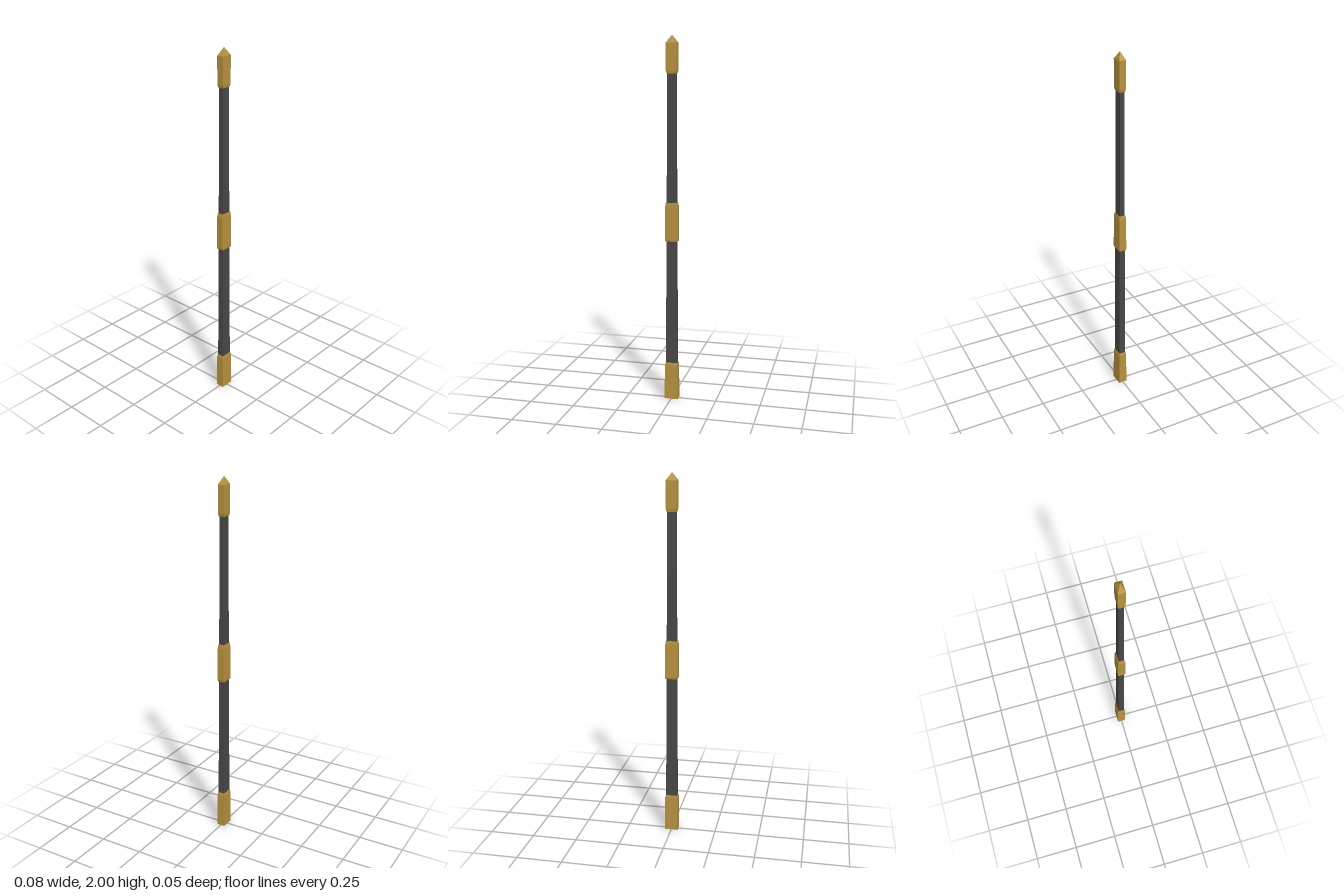
import * as THREE from 'three';

const brass = new THREE.MeshStandardMaterial({ color: 0xb8923f });
brass.name = 'brass';
const darkWood = new THREE.MeshStandardMaterial({ color: 0x4a4846 });
darkWood.name = 'dark wood';

// Rectangular loft through sections [y, half width, half depth], closed at both ends
function loft(name, material, sections) {
  const rings = sections.map(([y, w, d]) => [[-w, y, d], [w, y, d], [w, y, -d], [-w, y, -d]]);
  const pos = [];
  const quad = (a, b, c, d) => pos.push(...a, ...b, ...c, ...a, ...c, ...d);
  for (let i = 0; i < rings.length - 1; i++) {
    const lo = rings[i], hi = rings[i + 1];
    for (let k = 0; k < 4; k++) {
      const n = (k + 1) % 4;
      quad(lo[k], lo[n], hi[n], hi[k]);
    }
  }
  const b = rings[0], t = rings[rings.length - 1];
  quad(b[3], b[2], b[1], b[0]);
  quad(t[0], t[1], t[2], t[3]);
  const geometry = new THREE.BufferGeometry();
  geometry.setAttribute('position', new THREE.Float32BufferAttribute(pos, 3));
  geometry.computeVertexNormals();
  const mesh = new THREE.Mesh(geometry, material);
  mesh.name = name;
  return mesh;
}

export function createModel() {
  const group = new THREE.Group();
  group.name = 'taperedStaff';
  group.add(
    // Slim shafts between the fittings
    loft('lowerShaft', darkWood, [[0.19, 0.031, 0.0185], [0.51, 0.029, 0.017], [0.92, 0.0275, 0.0155]]),
    loft('upperShaft', darkWood, [[1.09, 0.0265, 0.015], [1.5, 0.0245, 0.0135], [1.82, 0.0235, 0.0125]]),
    // Metal fittings with bevelled ends
    loft('baseFerrule', brass, [[0, 0.0375, 0.024], [0.195, 0.0355, 0.0225], [0.21, 0.032, 0.02]]),
    loft('gripBand', brass, [[0.9, 0.033, 0.0185], [0.91, 0.0355, 0.0205], [1.09, 0.0345, 0.0195], [1.113, 0.031, 0.0175]]),
    loft('pointedCap', brass, [[1.8, 0.026, 0.0155], [1.815, 0.0295, 0.018], [1.96, 0.0305, 0.0185], [2, 0.0005, 0.0005]]),
  );
  return group;
}
